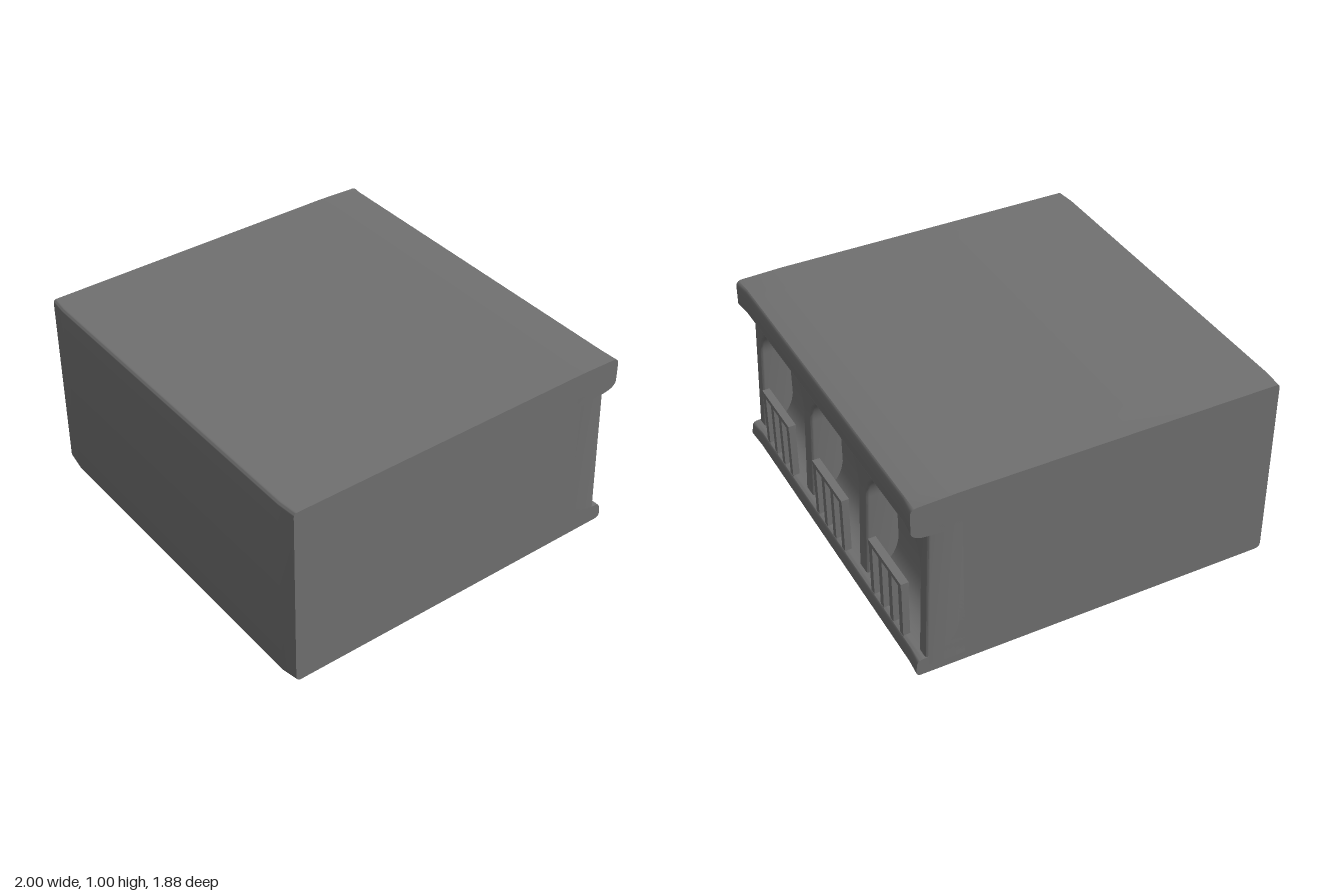
import * as THREE from 'three';
import { toCreasedNormals } from 'three/addons/utils/BufferGeometryUtils.js';

const material = new THREE.MeshStandardMaterial({ color: 0x707070 });

function part(name, geometry, parent, x = 0, y = 0, z = 0) {
  const mesh = new THREE.Mesh(geometry, material);
  mesh.name = name;
  mesh.position.set(x, y, z);
  parent.add(mesh);
  return mesh;
}

// Move every vertex by a rule
function reshape(geometry, rule) {
  const p = geometry.attributes.position;
  const v = new THREE.Vector3();
  for (let i = 0; i < p.count; i++) {
    rule(v.fromBufferAttribute(p, i));
    p.setXYZ(i, v.x, v.y, v.z);
  }
  return toCreasedNormals(geometry, 0.9);
}

// Side section swept across the full width, with a hollow at the rear
function bodyGeometry() {
  const s = new THREE.Shape();
  s.moveTo(-0.92, 0.005);
  s.lineTo(0.91, 0);
  s.quadraticCurveTo(0.94, 0, 0.94, 0.03);
  s.lineTo(0.94, 0.98);
  s.quadraticCurveTo(0.94, 1, 0.92, 1);
  s.lineTo(-0.7, 1);
  s.lineTo(-0.91, 0.993);
  s.quadraticCurveTo(-0.94, 0.99, -0.94, 0.96);
  s.lineTo(-0.94, 0.86);
  s.quadraticCurveTo(-0.93, 0.825, -0.87, 0.82);
  s.lineTo(-0.72, 0.81);
  s.lineTo(-0.72, 0.27);
  s.quadraticCurveTo(-0.74, 0.12, -0.9, 0.11);
  s.quadraticCurveTo(-0.935, 0.11, -0.935, 0.08);
  s.lineTo(-0.94, 0.03);
  s.quadraticCurveTo(-0.94, 0.01, -0.92, 0.005);
  const g = new THREE.ExtrudeGeometry(s, {
    depth: 2, steps: 20, bevelEnabled: false, curveSegments: 6,
  });
  g.translate(0, 0, -1).rotateY(-Math.PI / 2);
  // Ends tuck in at the front and underneath, and stand proud at the rear
  return reshape(g, (v) => {
    const end = Math.max(0, (Math.abs(v.x) - 0.9) / 0.1);
    if (v.y < 0.05) v.y += 0.014 * end;
    if (v.z > 0.9) v.z -= 0.01 * end;
    if (v.z < -0.92) v.z += 0.012 * (1 - end);
  });
}

// Rear wall with three arched openings, leaning out toward its foot
function arcadeGeometry(centres) {
  const s = new THREE.Shape();
  s.moveTo(-1, 0.06);
  s.lineTo(1, 0.06);
  s.lineTo(1, 0.86);
  s.lineTo(-1, 0.86);
  s.closePath();
  for (const x of centres) {
    const h = new THREE.Path();
    h.moveTo(x - 0.28, 0.09);
    h.lineTo(x - 0.28, 0.57);
    h.absellipse(x, 0.57, 0.28, 0.22, Math.PI, 0, true);
    h.lineTo(x + 0.28, 0.09);
    h.closePath();
    s.holes.push(h);
  }
  const g = new THREE.ExtrudeGeometry(s, {
    depth: 0.15, bevelThickness: 0.015, bevelSize: 0.012,
    bevelOffset: -0.012, bevelSegments: 3, curveSegments: 20,
  });
  g.rotateY(Math.PI).translate(0, 0, -0.695);
  return reshape(g, (v) => {
    if (v.z < -0.8) v.z -= 0.04 * (0.86 - v.y);
  });
}

// Slim railing: four uprights under a top bar
function railing(x) {
  const rail = new THREE.Group();
  rail.name = 'railing';
  rail.position.set(x, 0, -0.9);
  part('topBar', new THREE.BoxGeometry(0.35, 0.025, 0.04), rail, 0, 0.41, 0);
  for (let i = 0; i < 4; i++) {
    part('upright', new THREE.BoxGeometry(0.035, 0.32, 0.035), rail, -0.156 + i * 0.104, 0.25, 0);
  }
  return rail;
}

export function createModel() {
  const model = new THREE.Group();
  model.name = 'arcadeBlock';
  const centres = [-0.65, 0, 0.65];

  part('body', bodyGeometry(), model);
  part('arcadeWall', arcadeGeometry(centres), model);
  for (const x of centres) model.add(railing(x));

  return model;
}
